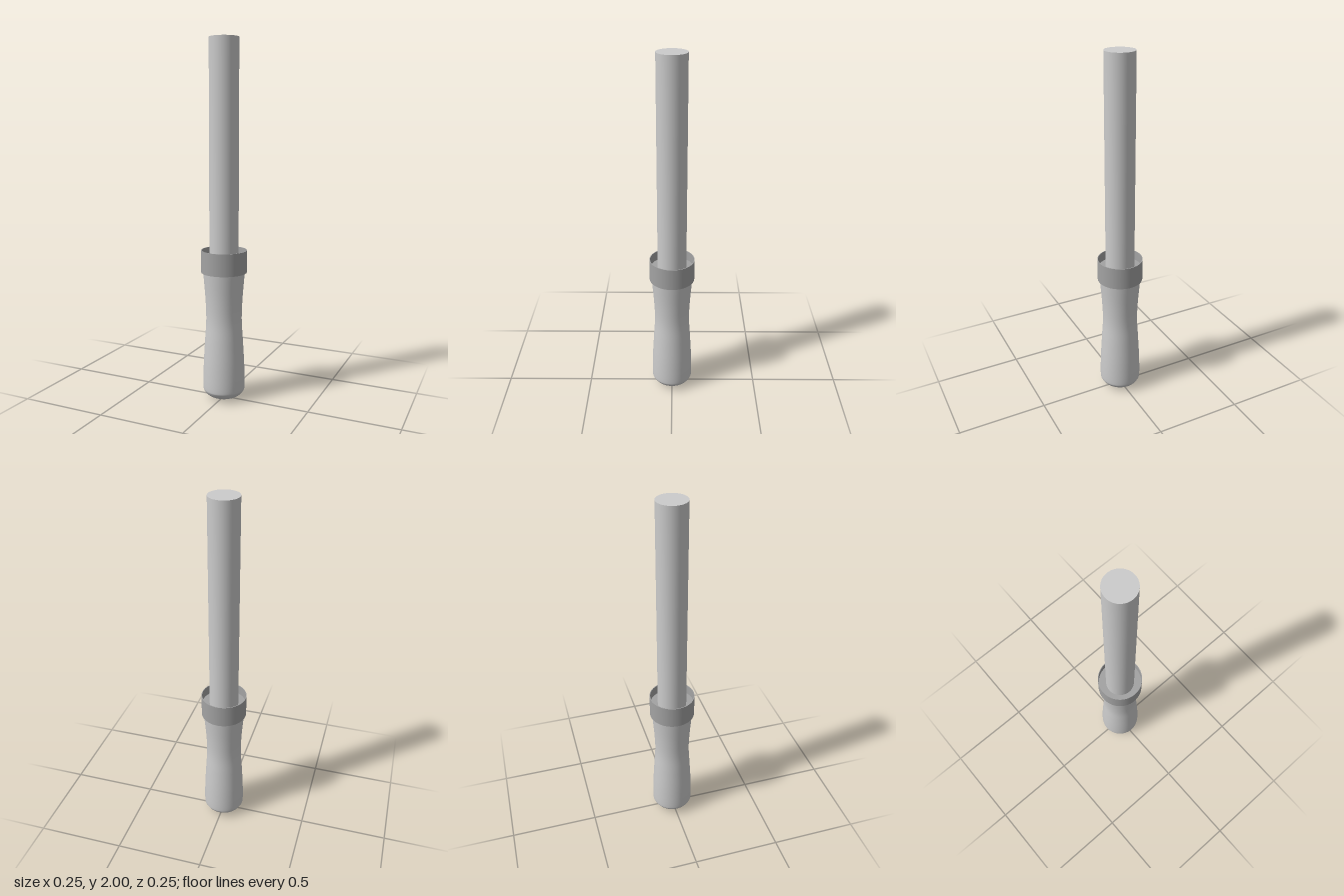
import * as THREE from 'three';

const SEGMENTS = 64;

function addLathe(group, name, points, color) {
  const mesh = new THREE.Mesh(
    new THREE.LatheGeometry(points, SEGMENTS),
    new THREE.MeshStandardMaterial({ color, side: THREE.DoubleSide })
  );
  mesh.name = name;
  group.add(mesh);
  return mesh;
}

export function createModel() {
  const group = new THREE.Group();
  group.name = 'handTool';
  const v = (x, y) => new THREE.Vector2(x, y);

  // Waisted grip with a rounded butt end
  const grip = new THREE.SplineCurve([
    v(0, 0), v(0.05, 0.005), v(0.09, 0.022), v(0.112, 0.045), v(0.118, 0.075),
    v(0.115, 0.2), v(0.107, 0.34), v(0.1, 0.46), v(0.104, 0.58),
    v(0.115, 0.72), v(0.12, 0.79),
  ]).getPoints(60);
  grip[0].set(0, 0);
  addLathe(group, 'grip', grip, 0xcccccc);

  // Thin cup-shaped collar: each run is separate so its edges stay sharp
  const collar = new THREE.Group();
  collar.name = 'collar';
  const outer = 0.127, inner = 0.123, low = 0.73, floor = 0.8, high = 0.855;
  const runs = {
    collarUnderside: [v(0.114, low), v(outer, low)],
    collarOuterWall: [v(outer, low), v(outer, high)],
    collarRim: [v(outer, high), v(inner, high)],
    collarInnerWall: [v(inner, high), v(inner, floor)],
    collarFloor: [v(inner, floor), v(0.07, floor)],
  };
  for (const [name, points] of Object.entries(runs)) addLathe(collar, name, points, 0xa3a3a3);
  group.add(collar);

  // Straight round shaft
  const shaft = new THREE.Mesh(
    new THREE.CylinderGeometry(0.081, 0.081, 1.25, SEGMENTS),
    new THREE.MeshStandardMaterial({ color: 0xcccccc })
  );
  shaft.name = 'shaft';
  shaft.position.y = 1.375;
  group.add(shaft);

  return group;
}
